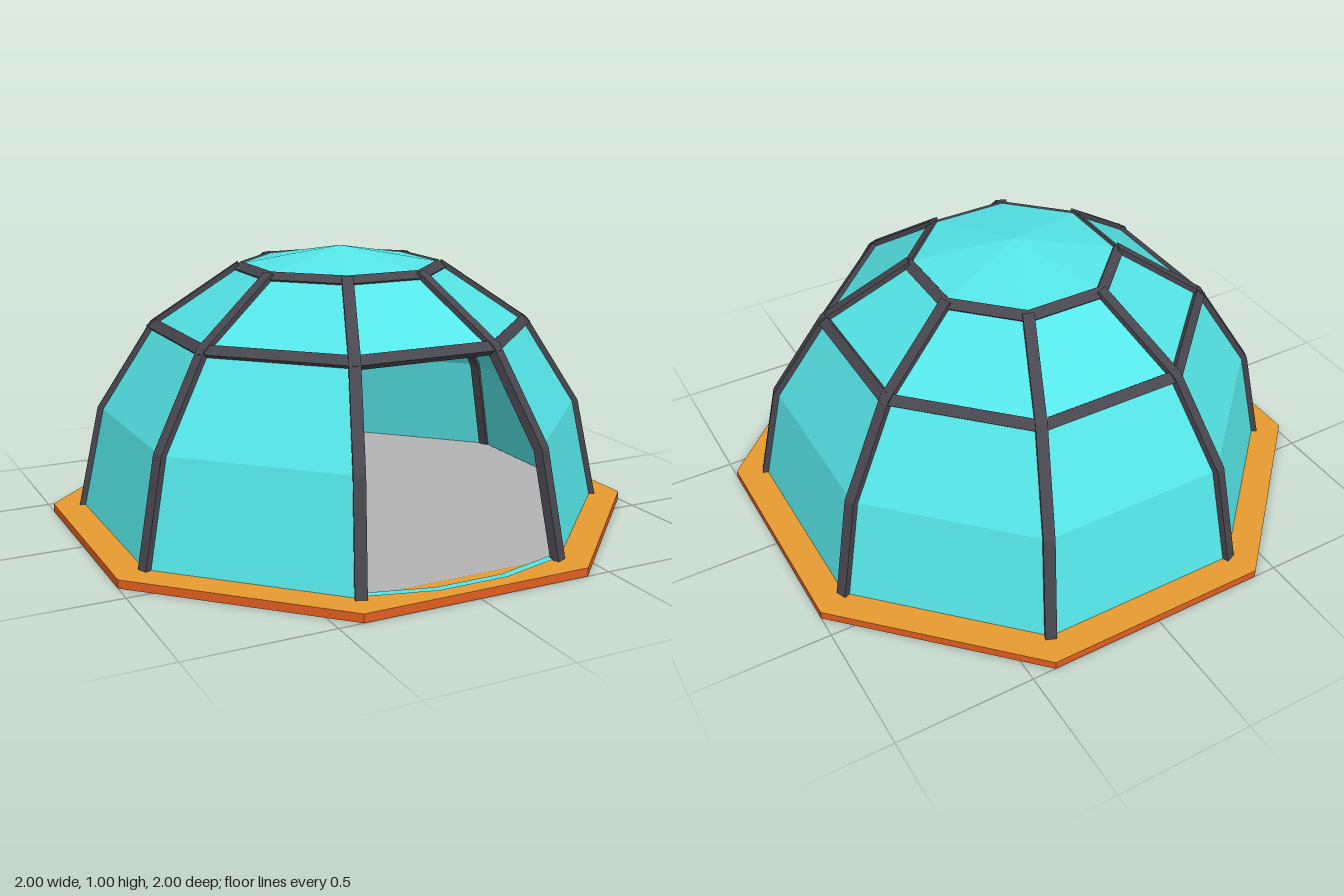
import * as THREE from 'three';

const SIDES = 8;
const STEP = Math.PI / 4;
const K = 1 / Math.cos(Math.PI / 8); // flat-to-flat half width -> corner radius

// dome profile as [half width across flats, height]
const PROFILE = [[0.895, 0.03], [0.82, 0.4], [0.635, 0.715], [0.34, 0.93]];

const paint = (name, color, side = THREE.FrontSide) => {
  const m = new THREE.MeshStandardMaterial({ color, side });
  m.name = name;
  return m;
};

// separate the faces so every facet is flat
function faceted(geometry) {
  const g = geometry.index ? geometry.toNonIndexed() : geometry;
  g.computeVertexNormals();
  return g;
}

// octagonal lathe with corners between the compass directions
function octLathe(points, segments = SIDES) {
  const pts = points.map(([a, y]) => new THREE.Vector2(a * K, y));
  return faceted(new THREE.LatheGeometry(pts, segments, Math.PI / 8, segments * STEP));
}

// profile of the dome corner pushed outwards by d
function offsetProfile(d) {
  const pts = PROFILE.map(([a, y]) => new THREE.Vector2(a * K, y));
  return pts.map((p, i) => {
    const t = pts[Math.min(i + 1, pts.length - 1)].clone()
      .sub(pts[Math.max(i - 1, 0)]).normalize();
    return i === 0 ? new THREE.Vector2(p.x + d, p.y) : new THREE.Vector2(p.x + t.y * d, p.y - t.x * d);
  });
}

export function createModel() {
  const glass = paint('turquoise glass', 0x55e5e7, THREE.DoubleSide);
  const frame = paint('dark frame', 0x48464e);
  const deckTop = paint('tan deck', 0xe79b30);
  const deckSide = paint('rust deck edge', 0xe25e20);
  const floorGrey = paint('grey floor', 0xb4b4b4);

  const model = new THREE.Group();
  model.name = 'octagonalDome';
  const add = (name, geometry, material, parent = model) => {
    const mesh = new THREE.Mesh(geometry, material);
    mesh.name = name;
    parent.add(mesh);
    return mesh;
  };

  // base slab
  const slab = new THREE.CylinderGeometry(K, K, 0.03, SIDES, 1, false, Math.PI / 8);
  slab.translate(0, 0.015, 0);
  add('baseSlab', faceted(slab), [deckSide, deckTop, deckSide]);

  // floor and the glass sill across the doorway
  const floor = new THREE.CircleGeometry(0.89 * K, SIDES, Math.PI / 8);
  add('floor', floor.rotateX(-Math.PI / 2).translate(0, 0.033, 0), floorGrey);
  const sill = new THREE.RingGeometry(0.865 * K, 0.892 * K, 1, 1, Math.PI * 1.375, STEP);
  add('doorSill', sill.rotateX(-Math.PI / 2).translate(0, 0.035, 0), glass);

  // glazing: seven lower panels leave the doorway open at the front
  add('lowerGlass', octLathe(PROFILE.slice(0, 3), SIDES - 1), glass);
  add('upperGlass', octLathe(PROFILE.slice(2)), glass);
  add('roofGlass', octLathe([[0.34, 0.935], [0, 1]]), glass);

  // ribs along the eight corners
  const ribs = new THREE.Group();
  ribs.name = 'ribs';
  model.add(ribs);
  const outline = [...offsetProfile(0.014), ...offsetProfile(-0.02).reverse()];
  const ribGeometry = new THREE.ExtrudeGeometry(new THREE.Shape(outline), { depth: 0.04, bevelEnabled: false });
  ribGeometry.translate(0, 0, -0.02);
  for (let i = 0; i < SIDES; i++) {
    add('rib', ribGeometry, frame, ribs).rotation.y = (i + 0.5) * STEP;
  }

  // horizontal rings, tilted to follow the dome surface
  const ring = (name, a, y, tilt) => {
    const corners = [[1, -1], [1, 1], [-1, 1], [-1, -1], [1, -1]].map(([n, t]) => {
      const u = n * 0.014, v = t * 0.02;
      return [a + u * Math.cos(tilt) - v * Math.sin(tilt), y + u * Math.sin(tilt) + v * Math.cos(tilt)];
    });
    add(name, octLathe(corners), frame);
  };
  ring('middleRing', 0.635, 0.713, 0.75);
  ring('topRing', 0.342, 0.92, 0.95);

  return model;
}
